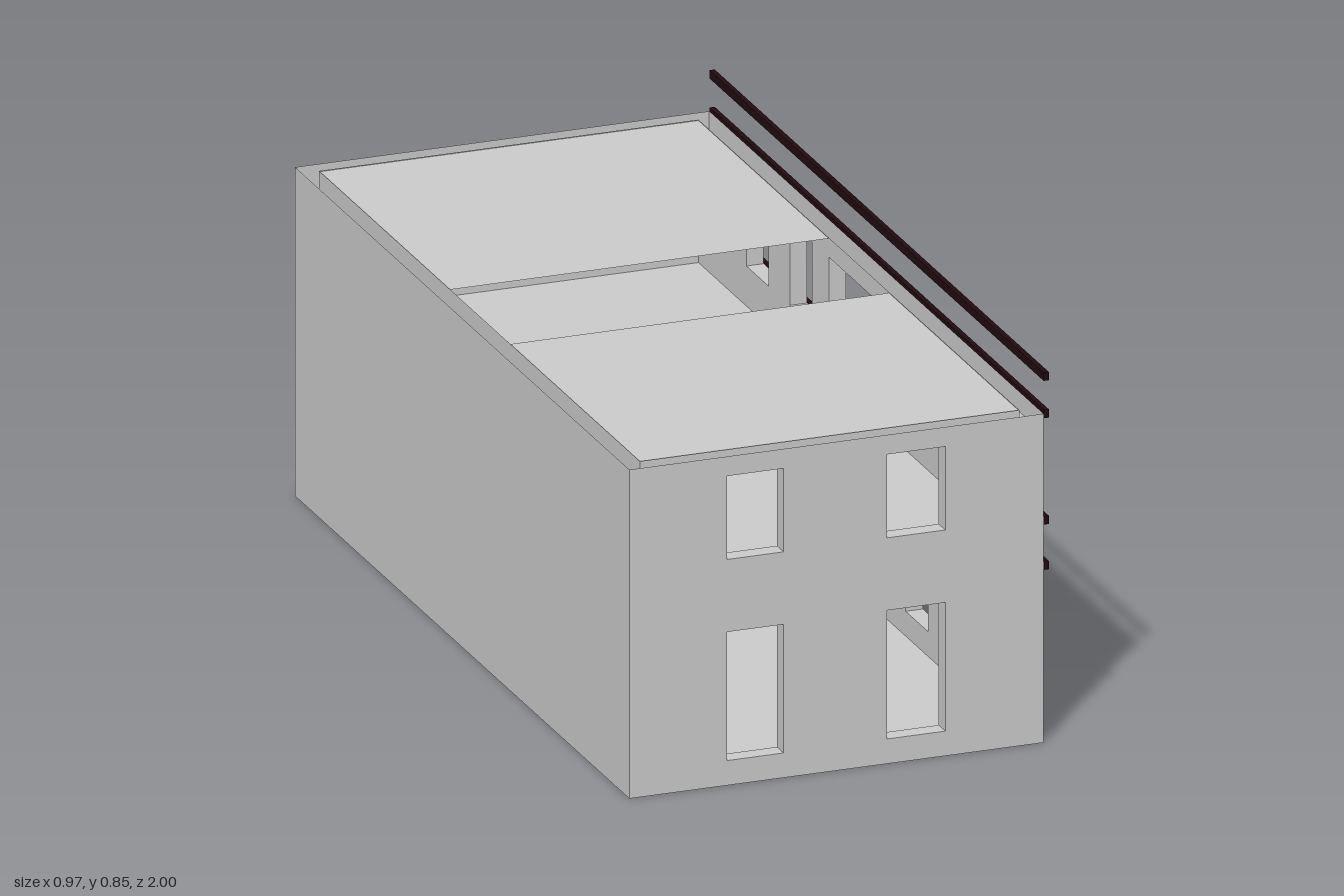
import * as THREE from 'three';

const HX = 0.4785, HZ = 1, H = 0.757, T = 0.04, DOOR = 0.115, DOOR_H = 0.285;

const plaster = new THREE.MeshStandardMaterial({ color: 0xcccccc, side: THREE.DoubleSide });
plaster.name = 'greyPlaster';
const trim = new THREE.MeshStandardMaterial({ color: 0x200b10 });
trim.name = 'darkTrim';

function add(parent, name, geometry, material = plaster) {
  const mesh = new THREE.Mesh(geometry, material);
  mesh.name = name;
  parent.add(mesh);
  return mesh;
}

const corners = ([u0, u1, y0, y1]) => [[u0, y0], [u0, y1], [u1, y1], [u1, y0]];

// One face of a wall, with window holes and an optional door notch
function sheet(half, holes, door) {
  const shape = new THREE.Shape();
  shape.moveTo(-half, 0);
  if (door) {
    shape.lineTo(-DOOR, 0);
    shape.lineTo(-DOOR, DOOR_H);
    shape.lineTo(DOOR, DOOR_H);
    shape.lineTo(DOOR, 0);
  }
  shape.lineTo(half, 0);
  shape.lineTo(half, H);
  shape.lineTo(-half, H);
  for (const hole of holes) {
    shape.holes.push(new THREE.Path(corners(hole).map(([u, y]) => new THREE.Vector2(u, y))));
  }
  return new THREE.ShapeGeometry(shape);
}

// Strip joining the outer and inner faces around an opening
function reveal(points, closed) {
  const pos = [];
  const n = points.length;
  for (let i = 0; i < (closed ? n : n - 1); i++) {
    const [a, b] = points[i], [c, d] = points[(i + 1) % n];
    pos.push(a, b, 0, a, b, -T, c, d, -T, a, b, 0, c, d, -T, c, d, 0);
  }
  const g = new THREE.BufferGeometry();
  g.setAttribute('position', new THREE.Float32BufferAttribute(pos, 3));
  g.computeVertexNormals();
  return g;
}

// Hollow, open-topped wall: two faces and the reveals between them
function wall(parent, name, half, dist, angle, holes, door = false) {
  const g = new THREE.Group();
  g.name = name;
  g.rotation.y = angle;
  g.position.set(Math.sin(angle) * dist, 0, Math.cos(angle) * dist);
  add(g, 'outerFace', sheet(half, holes, door));
  const inner = sheet(half - T, holes, door);
  inner.rotateY(Math.PI).translate(0, 0, -T);
  // turn the inner face round, keeping its openings in line with the outer ones
  const p = inner.attributes.position;
  for (let i = 0; i < p.count; i++) p.setX(i, -p.getX(i));
  const index = inner.index.array;
  for (let i = 0; i < index.length; i += 3) [index[i], index[i + 1]] = [index[i + 1], index[i]];
  add(g, 'innerFace', inner);
  for (const hole of holes) add(g, 'windowReveal', reveal(corners(hole), true));
  if (door) add(g, 'doorReveal', reveal(corners([-DOOR, DOOR, 0, DOOR_H]), false));
  parent.add(g);
}

// Flat level sheet facing up
function level(parent, name, x0, x1, z0, z1, y) {
  const g = new THREE.PlaneGeometry(x1 - x0, z1 - z0).rotateX(-Math.PI / 2);
  add(parent, name, g).position.set((x0 + x1) / 2, y, (z0 + z1) / 2);
}

export function createModel() {
  const model = new THREE.Group();
  model.name = 'house';
  const building = new THREE.Group();
  building.name = 'building';
  building.position.x = -0.0065;
  model.add(building);

  // Window layouts: [u0, u1, y0, y1]
  const rows = [[0.057, 0.353], [0.52, 0.712]];
  const endHoles = [], backHoles = [], longHoles = [[-0.18, 0.18, 0.52, 0.712]];
  for (const [y0, y1] of rows) {
    for (const [a, b] of [[-0.253, -0.122], [0.117, 0.252]]) {
      endHoles.push([a, b, y0, y1]);
      backHoles.push([-b, -a, y0, y1]);
    }
    for (const a of [0.28, 0.54, 0.79]) {
      longHoles.push([a, a + 0.133, y0, y1], [-a - 0.133, -a, y0, y1]);
    }
  }

  // Walls
  wall(building, 'frontWall', HX, HZ, 0, endHoles);
  wall(building, 'backWall', HX, HZ, Math.PI, backHoles);
  wall(building, 'entranceWall', HZ, HX, Math.PI / 2, longHoles, true);
  wall(building, 'plainWall', HZ, HX, -Math.PI / 2, []);

  // Ground floor, cut back at the doorway
  const x = HX - T, z = HZ - T;
  level(building, 'groundFloor', -HX, x, -HZ, HZ, 0);
  for (const s of [-1, 1]) {
    level(building, 'wallFooting', x, HX, s < 0 ? -HZ : DOOR, s < 0 ? -DOOR : HZ, 0);
  }

  // Upper floor and the two roof panels with a gap between
  level(building, 'upperFloor', -x, x, -z, z, 0.428);
  level(building, 'frontRoof', -x, x, 0.18, z, H - 0.002);
  level(building, 'backRoof', -x, x, -z, -0.18, H - 0.002);

  // Long rails along the entrance side
  for (const y of [0.407, 0.511, 0.756, 0.842]) {
    add(model, 'rail', new THREE.BoxGeometry(0.012, 0.019, 2), trim).position.set(0.479, y, 0);
  }
  return model;
}
